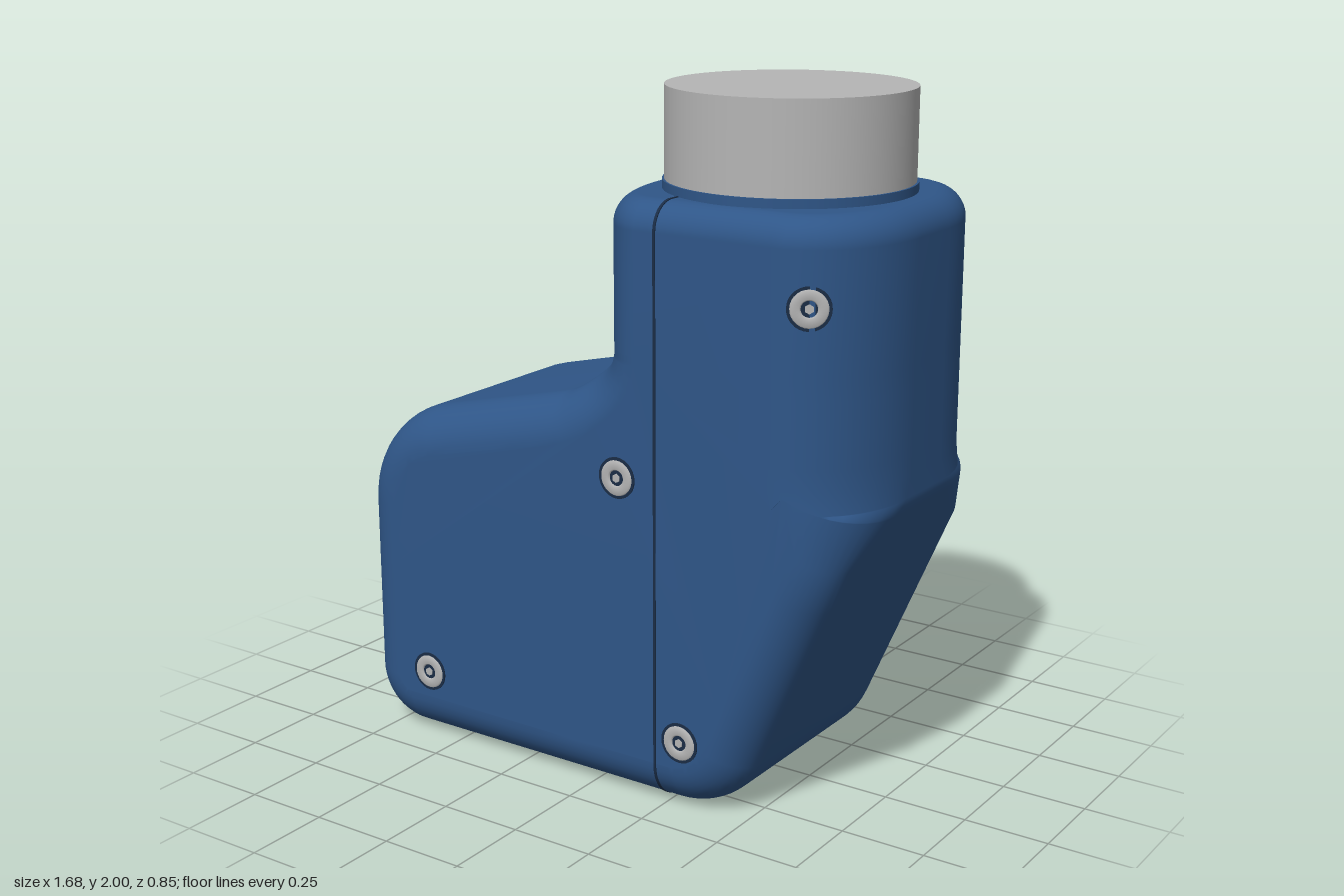
import * as THREE from 'three';
import { mergeVertices } from 'three/addons/utils/BufferGeometryUtils.js';

const HALF_Z = 0.415, LEFT = -0.03, RIGHT = 0.84, JOIN_Y = 1.3, TOP_Y = 1.72, STEPS = 10;
const { lerp, smoothstep } = THREE.MathUtils;

// Edge rounding (in-plane inset, depth) along the outline
function rounding(x, y) {
  const right = x > 0.24;
  const k = right ? smoothstep(y, 0.78, 0.98) : smoothstep(y, 1.14, 1.28);
  return [lerp(0.13, right ? 0.25 : 0.2, k), lerp(0.13, right ? 0.33 : 0.4, k)];
}

// Half-round section across the depth: list of [inset, z]
function section(inset, depth, half) {
  const out = [];
  for (const s of [-1, 1]) {
    for (let j = 0; j <= STEPS; j++) {
      const t = (s < 0 ? 1 - j / STEPS : j / STEPS) * Math.PI / 2;
      out.push([inset * (1 - Math.cos(t)), s * (half - depth + depth * Math.sin(t))]);
    }
  }
  return out;
}

// Side outline with filleted corners, sampled with outward normals
function outline() {
  const corners = [[LEFT, JOIN_Y, 0], [LEFT, 1.16, 0.14], [-0.84, 0.966, 0.32], [-0.84, 0.001, 0.18],
    [0.447, 0.001, 0.25], [RIGHT, 0.92, 0.1], [RIGHT, JOIN_Y, 0]];
  const P = corners.map(c => new THREE.Vector2(c[0], c[1]));
  const pts = [{ p: P[0], n: new THREE.Vector2(-1, 0) }];
  const lineTo = (p, n) => {
    const from = pts[pts.length - 1].p;
    for (let i = 1; i <= 6; i++) pts.push({ p: from.clone().lerp(p, i / 6), n });
  };
  for (let i = 1; i < P.length - 1; i++) {
    const d0 = P[i].clone().sub(P[i - 1]).normalize(), d1 = P[i + 1].clone().sub(P[i]).normalize();
    const turn = Math.atan2(d0.cross(d1), d0.dot(d1)), s = Math.sign(turn), r = corners[i][2];
    const n0 = new THREE.Vector2(d0.y, -d0.x);
    const start = P[i].clone().addScaledVector(d0, -r * Math.tan(Math.abs(turn) / 2));
    const centre = start.clone().addScaledVector(n0, -s * r);
    lineTo(start, n0);
    for (let k = 1; k <= 12; k++) {
      const n = n0.clone().rotateAround(new THREE.Vector2(), turn * k / 12);
      pts.push({ p: centre.clone().addScaledVector(n, s * r), n });
    }
  }
  lineTo(P[P.length - 1], new THREE.Vector2(1, 0));
  return pts;
}

function bodyGeometry() {
  const pos = [];
  const tri = (a, b, c) => pos.push(...a, ...b, ...c);
  const quad = (a, b, c, d) => { tri(a, b, c); tri(a, c, d); };

  // Lower housing: rounded section swept round the outline
  const rows = outline().map(({ p, n }) => {
    const [a, b] = rounding(p.x, p.y);
    return section(a, b, HALF_Z).map(([d, z]) => [p.x - n.x * d, p.y - n.y * d, z]);
  });
  for (let i = 0; i < rows.length - 1; i++) {
    for (let j = 0; j < rows[i].length - 1; j++) {
      quad(rows[i][j], rows[i + 1][j], rows[i + 1][j + 1], rows[i][j + 1]);
    }
  }
  // Flat front and back faces
  const last = rows[0].length - 1;
  const faces = THREE.ShapeUtils.triangulateShape(rows.map(r => new THREE.Vector2(r[last][0], r[last][1])), []);
  for (const [a, b, c] of faces) {
    tri(rows[a][last], rows[b][last], rows[c][last]);
    tri(rows[a][0], rows[c][0], rows[b][0]);
  }

  // Neck: stacked stadium rings with a rounded top rim
  const ring = (y, d) => {
    const [la, lb] = rounding(LEFT, JOIN_Y), [ra, rb] = rounding(RIGHT, JOIN_Y);
    const left = section(la - d, lb - d, HALF_Z - d).map(([x, z]) => [LEFT + d + x, y, z]);
    const right = section(ra - d, rb - d, HALF_Z - d).map(([x, z]) => [RIGHT - d - x, y, z]);
    return [...left, ...right.reverse()];
  };
  const rings = [ring(JOIN_Y, 0)], rim = 0.08;
  for (let k = 0; k <= 8; k++) {
    const t = k / 8 * Math.PI / 2;
    rings.push(ring(TOP_Y - rim + rim * Math.sin(t), rim * (1 - Math.cos(t))));
  }
  const count = rings[0].length;
  for (let k = 0; k < rings.length - 1; k++) {
    for (let j = 0; j < count; j++) {
      const m = (j + 1) % count;
      quad(rings[k][j], rings[k][m], rings[k + 1][m], rings[k + 1][j]);
    }
  }
  const top = rings[rings.length - 1];
  for (let j = 0; j < count; j++) tri([0.4, TOP_Y, 0], top[j], top[(j + 1) % count]);

  const g = new THREE.BufferGeometry();
  g.setAttribute('position', new THREE.Float32BufferAttribute(pos, 3));
  const merged = mergeVertices(g, 1e-4);
  merged.computeVertexNormals();
  return merged;
}

// Thin line where the two housing halves meet
function seamGeometry() {
  const w = HALF_Z + 0.002, h = TOP_Y + 0.002, b = 0.13, t = 0.08;
  const s = new THREE.Shape();
  s.moveTo(-w + b, 0);
  s.absarc(w - b, b, b, -Math.PI / 2, 0);
  s.absarc(w - t, h - t, t, 0, Math.PI / 2);
  s.absarc(-w + t, h - t, t, Math.PI / 2, Math.PI);
  s.absarc(-w + b, b, b, Math.PI, Math.PI * 1.5);
  const g = new THREE.ExtrudeGeometry(s, { depth: 0.008, bevelEnabled: false, curveSegments: 10 });
  return g.rotateY(Math.PI / 2).translate(0.233, 0, 0);
}

export function createModel() {
  const blue = new THREE.MeshStandardMaterial({ color: 0x2f5688 });
  blue.name = 'housingBlue';
  const grey = new THREE.MeshStandardMaterial({ color: 0xb5b5b5 });
  grey.name = 'metalGrey';
  const dark = new THREE.MeshStandardMaterial({ color: 0x1a2c45 });
  dark.name = 'grooveNavy';

  const model = new THREE.Group();
  model.name = 'inhaler';
  const add = (parent, name, geometry, material) => {
    const m = new THREE.Mesh(geometry, material);
    m.name = name;
    parent.add(m);
    return m;
  };

  add(model, 'housing', bodyGeometry(), blue);
  add(model, 'seam', seamGeometry(), dark);

  // Canister and the collar it sits in
  const canister = add(model, 'canister', new THREE.CylinderGeometry(0.344, 0.344, 0.3, 64), grey);
  canister.position.set(0.4, 1.85, 0);
  canister.scale.z = 0.98;
  const collar = add(model, 'collar', new THREE.CylinderGeometry(0.35, 0.35, 0.045, 64), blue);
  collar.position.set(0.4, 1.7225, 0);
  collar.scale.z = 0.98;

  // Screws, mirrored front and back: x, y, z, turn
  const washer = new THREE.CylinderGeometry(0.059, 0.059, 0.006, 28).rotateX(Math.PI / 2);
  const head = new THREE.LatheGeometry([[0.053, 0], [0.047, 0.008], [0.026, 0.008], [0.022, 0.003]]
    .map(p => new THREE.Vector2(...p)), 28).rotateX(Math.PI / 2);
  const pin = new THREE.CylinderGeometry(0.013, 0.013, 0.006, 6).rotateX(Math.PI / 2).translate(0, 0, 0.003);
  const spots = [[-0.585, 0.215, HALF_Z, 0], [0.32, 0.215, HALF_Z, 0], [0.113, 0.95, HALF_Z, 0], [0.69, 1.49, 0.383, 0.52]];
  for (const side of [1, -1]) {
    for (const [x, y, z, turn] of spots) {
      const screw = new THREE.Group();
      screw.name = side > 0 ? 'frontScrew' : 'backScrew';
      add(screw, 'screwRecess', washer, dark);
      add(screw, 'screwHead', head, grey);
      add(screw, 'screwPin', pin, grey);
      screw.position.set(x, y, z * side);
      screw.rotation.y = side > 0 ? turn : Math.PI - turn;
      model.add(screw);
    }
  }
  return model;
}
